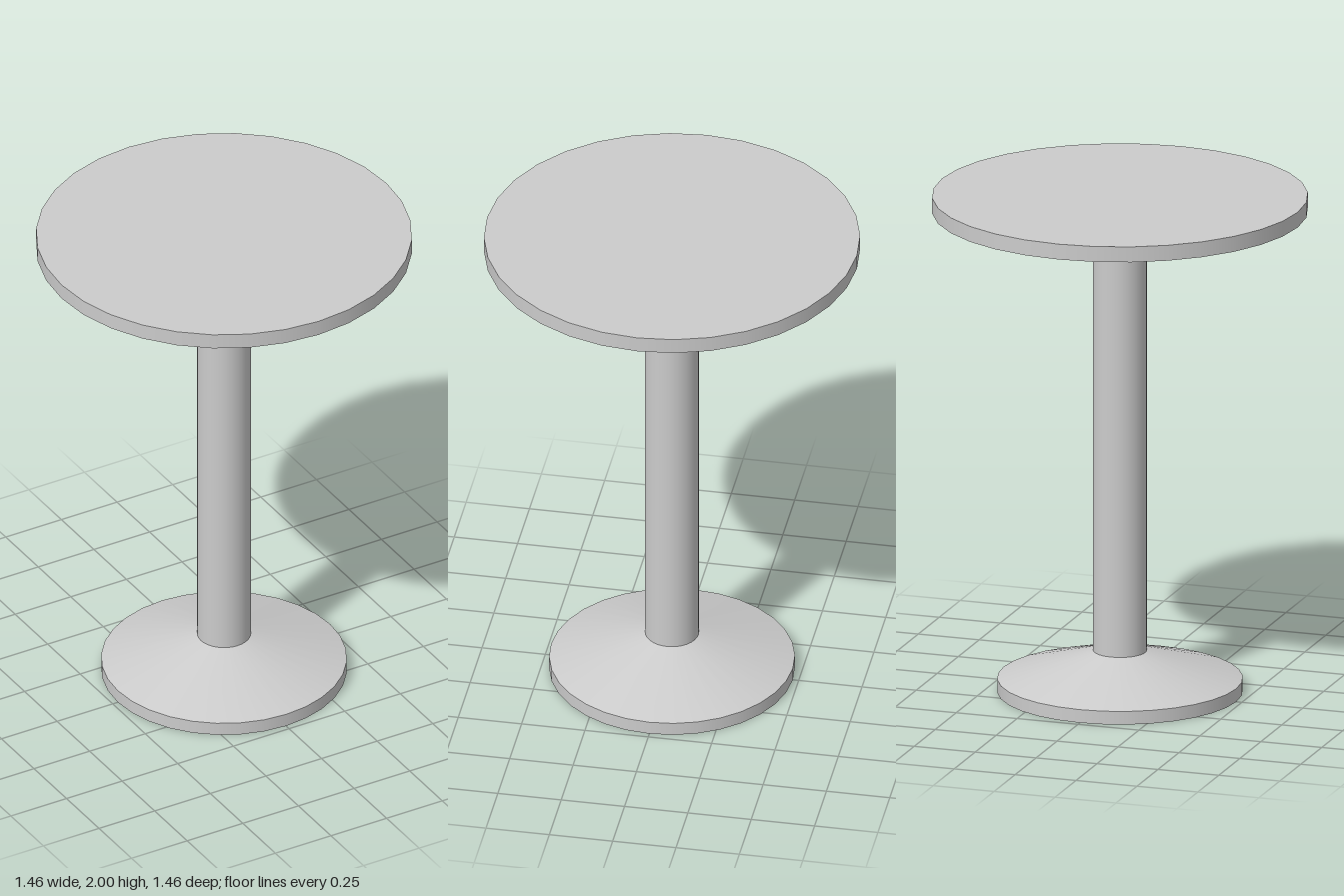
import * as THREE from 'three';

const SIDES = 32;

export function createModel() {
  const model = new THREE.Group();
  model.name = 'pedestalTable';
  const material = new THREE.MeshStandardMaterial({ color: 0xcccccc });

  // Round section between two heights
  function addRound(name, parent, rTop, rBottom, y0, y1, open = false) {
    const geometry = new THREE.CylinderGeometry(rTop, rBottom, y1 - y0, SIDES, 1, open);
    const mesh = new THREE.Mesh(geometry, material);
    mesh.name = name;
    mesh.position.y = (y0 + y1) / 2;
    parent.add(mesh);
  }

  // Base: flat rim with a sloping cone above it
  const base = new THREE.Group();
  base.name = 'base';
  model.add(base);
  addRound('baseRim', base, 0.477, 0.477, 0, 0.053);
  addRound('baseCone', base, 0.104, 0.477, 0.053, 0.164, true);

  // Column joining the base to the top
  addRound('column', model, 0.104, 0.104, 0.164, 1.938, true);

  // Round table top
  addRound('tableTop', model, 0.73, 0.73, 1.938, 2);

  return model;
}
